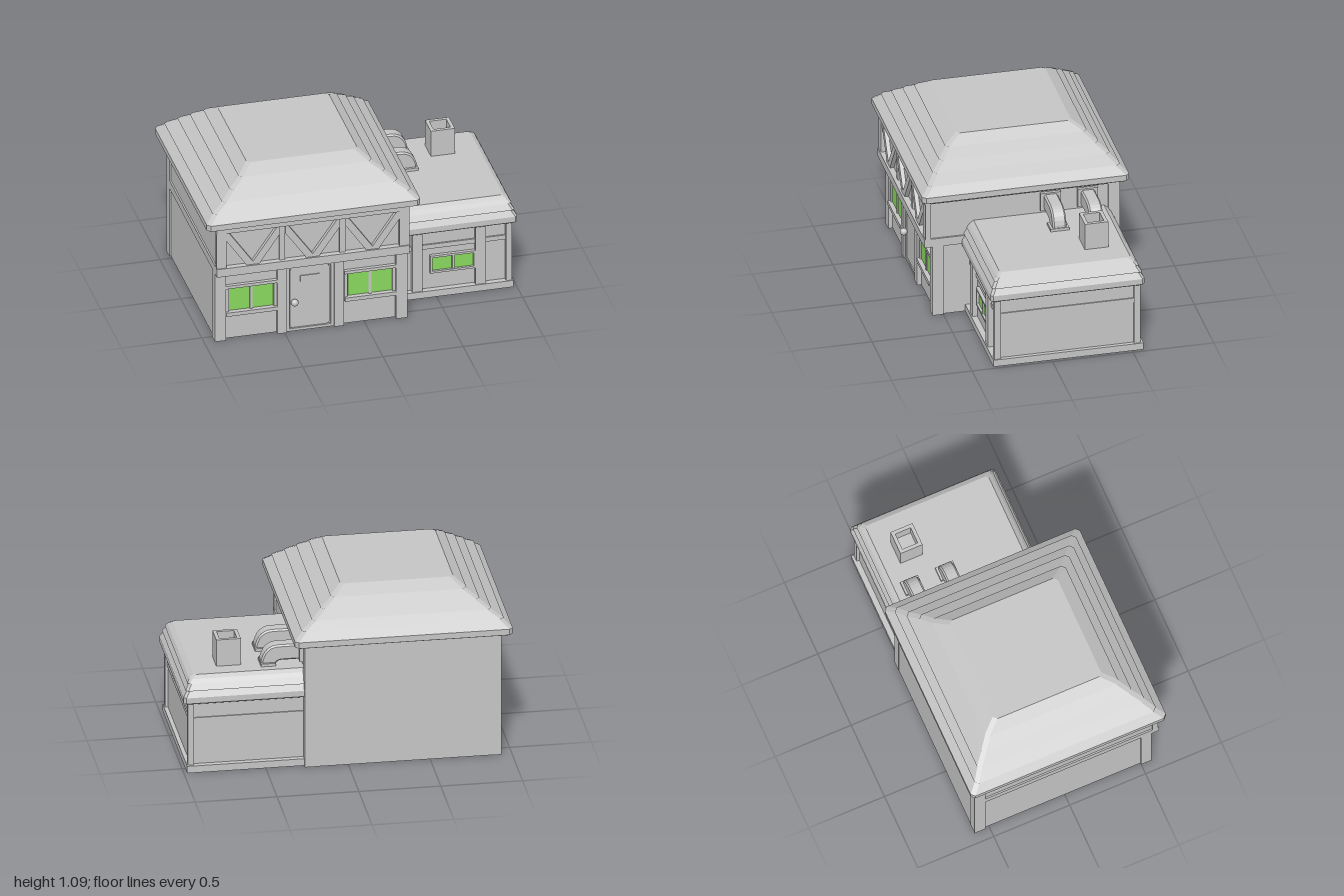
import * as THREE from 'three';

export function createModel() {
  const model = new THREE.Group();
  const grey = new THREE.MeshStandardMaterial({ color: 0xc4c4c4 });
  grey.name = 'stoneGrey';
  const green = new THREE.MeshStandardMaterial({ color: 0x88d65e });
  green.name = 'glassGreen';

  const add = (name, geometry, material = grey, parent = model) => {
    const mesh = new THREE.Mesh(geometry, material);
    mesh.name = name;
    parent.add(mesh);
    return mesh;
  };
  // Box given by its minimum and maximum on each axis
  const box = (name, x0, x1, y0, y1, z0, z1, material = grey) => {
    const g = new THREE.BoxGeometry(x1 - x0, y1 - y0, z1 - z0);
    g.translate((x0 + x1) / 2, (y0 + y1) / 2, (z0 + z1) / 2);
    return add(name, g, material);
  };
  // Stack of chamfered rectangles [halfX, y, halfZ], closed at both ends
  const loft = (rings, c) => {
    const loops = rings.map(([hx, y, hz]) => [
      [hx - c, y, hz], [hx, y, hz - c], [hx, y, -hz + c], [hx - c, y, -hz],
      [-hx + c, y, -hz], [-hx, y, -hz + c], [-hx, y, hz - c], [-hx + c, y, hz]]);
    const pos = [];
    const tri = (a, b, d) => pos.push(...a, ...b, ...d);
    for (let i = 0; i < loops.length - 1; i++) {
      const lo = loops[i], hi = loops[i + 1];
      for (let j = 0; j < 8; j++) {
        const k = (j + 1) % 8;
        tri(lo[j], lo[k], hi[k]);
        tri(lo[j], hi[k], hi[j]);
      }
    }
    const first = loops[0], last = loops[loops.length - 1];
    for (let j = 1; j < 7; j++) {
      tri(first[0], first[j + 1], first[j]);
      tri(last[0], last[j], last[j + 1]);
    }
    const g = new THREE.BufferGeometry();
    g.setAttribute('position', new THREE.Float32BufferAttribute(pos, 3));
    g.computeVertexNormals();
    return g;
  };
  const rectPath = (target, x0, x1, y0, y1) => {
    target.moveTo(x0, y0);
    target.lineTo(x1, y0);
    target.lineTo(x1, y1);
    target.lineTo(x0, y1);
    target.closePath();
    return target;
  };
  // Rectangular frame with an opening, lying in the xy plane
  const frame = (x0, x1, y0, y1, border, depth) => {
    const s = rectPath(new THREE.Shape(), x0, x1, y0, y1);
    s.holes.push(rectPath(new THREE.Path(), x0 + border, x1 - border, y0 + border, y1 - border));
    return new THREE.ExtrudeGeometry(s, { depth, bevelEnabled: false });
  };

  // Main house walls: lower storey and overhanging upper storey
  box('lowerWall', -0.925, 0.255, 0, 0.48, -0.595, 0.54);
  box('upperWall', -0.925, 0.255, 0.47, 0.81, -0.595, 0.58);
  box('floorBeam', -0.935, 0.265, 0.47, 0.525, -0.59, 0.617);
  box('topBeam', -0.935, 0.265, 0.765, 0.81, -0.59, 0.617);
  for (const [x0, x1] of [[-0.935, -0.865], [-0.545, -0.485], [-0.19, -0.13], [0.195, 0.265]])
    box('lowerPost', x0, x1, 0, 0.47, 0.5, 0.567);
  for (const [x0, x1] of [[-0.935, -0.875], [0.205, 0.265]]) {
    box('upperCornerPost', x0, x1, 0.525, 0.765, 0.575, 0.61);
    box('rearPost', x0, x1, 0, 0.8, -0.597, -0.525);
  }
  for (const x of [-0.54, -0.165]) box('upperPost', x, x + 0.035, 0.525, 0.765, 0.57, 0.595);

  // Paired slanting braces in each upper panel
  for (const [x0, x1] of [[-0.875, -0.54], [-0.505, -0.165], [-0.13, 0.205]]) {
    const mid = (x0 + x1) / 2;
    for (const [edge, s] of [[x0, 1], [x1, -1]]) {
      const shape = new THREE.Shape([
        new THREE.Vector2(edge, 0.765), new THREE.Vector2(edge, 0.71),
        new THREE.Vector2(mid - s * 0.04, 0.525), new THREE.Vector2(mid, 0.525),
        new THREE.Vector2(mid, 0.545), new THREE.Vector2(edge + s * 0.015, 0.765)]);
      const g = new THREE.ExtrudeGeometry(shape, { depth: 0.025, bevelEnabled: false });
      add('brace', g).position.z = 0.58;
    }
  }

  // Main windows
  for (const cx of [-0.705, 0.035]) {
    add('windowFrame', frame(cx - 0.16, cx + 0.16, 0.17, 0.37, 0.02, 0.015)).position.z = 0.54;
    box('windowLintel', cx - 0.16, cx + 0.16, 0.35, 0.37, 0.53, 0.563);
    box('windowSill', cx - 0.16, cx + 0.16, 0.165, 0.19, 0.53, 0.572);
    box('mullion', cx - 0.008, cx + 0.008, 0.19, 0.35, 0.54, 0.553);
    for (const s of [-1, 1])
      box('windowPane', cx + s * 0.072 - 0.064, cx + s * 0.072 + 0.064, 0.193, 0.347, 0.54, 0.546, green);
  }

  // Door with frame, rounded panel, plate and knob
  add('doorFrame', frame(-0.485, -0.19, 0, 0.445, 0.018, 0.015)).position.z = 0.54;
  const door = new THREE.Shape();
  const [dl, dr, db, dt, r] = [-0.463, -0.217, 0.022, 0.425, 0.02];
  door.moveTo(dl + r, db);
  door.lineTo(dr - r, db);
  door.quadraticCurveTo(dr, db, dr, db + r);
  door.lineTo(dr, dt - r);
  door.quadraticCurveTo(dr, dt, dr - r, dt);
  door.lineTo(dl + r, dt);
  door.quadraticCurveTo(dl, dt, dl, dt - r);
  door.lineTo(dl, db + r);
  door.quadraticCurveTo(dl, db, dl + r, db);
  add('door', new THREE.ExtrudeGeometry(door, { depth: 0.01, bevelEnabled: false })).position.z = 0.54;
  box('doorPlate', -0.4, -0.28, 0.335, 0.375, 0.55, 0.556);
  add('doorKnob', new THREE.SphereGeometry(0.023, 16, 12)).position.set(-0.44, 0.205, 0.575);

  // Main roof: stepped courses rising to a flat top
  const hx = [0.665, 0.618, 0.548, 0.485, 0.415, 0.345];
  const hz = [0.643, 0.597, 0.55, 0.495, 0.44, 0.357];
  const rings = [[0.655, 0.8, 0.63], [0.665, 0.807, 0.643]];
  for (let i = 0; i < 5; i++) {
    const y = 0.845 + i * 0.049;
    const lip = i < 4 ? 0.012 : 0;
    rings.push([hx[i], y, hz[i]], [hx[i + 1] - lip, y + 0.049, hz[i + 1] - lip]);
  }
  add('mainRoof', loft(rings, 0.022)).position.x = -0.335;

  // Annex walls, base, rails and columns
  box('annexWall', 0.25, 0.955, 0.01, 0.47, -0.535, 0.325);
  box('annexBase', 0.25, 0.98, 0, 0.045, -0.57, 0.362);
  box('annexRail', 0.25, 0.962, 0.32, 0.35, -0.542, 0.335);
  for (const z of [0.335, -0.533]) {
    box('annexCornerColumn', 0.935, 0.973, 0.03, 0.47, z - 0.02, z + 0.02);
    for (const x of [0.35, 0.745])
      if (z > 0) box('annexColumn', x, x + 0.065, 0.03, 0.47, z - 0.02, z + 0.02);
  }
  add('annexWindowFrame', frame(0.465, 0.75, 0.155, 0.275, 0.014, 0.022)).position.z = 0.325;
  box('annexMullion', 0.603, 0.617, 0.16, 0.27, 0.32, 0.342);
  for (const x of [0.48, 0.617])
    box('annexWindowPane', x, x + 0.122, 0.168, 0.263, 0.325, 0.332, green);

  // Annex roof: three overlapping courses
  const annexRoof = loft([
    [0.44, 0.45, 0.468], [0.45, 0.458, 0.478], [0.45, 0.495, 0.478], [0.425, 0.535, 0.455],
    [0.436, 0.535, 0.466], [0.412, 0.575, 0.44],
    [0.422, 0.575, 0.448], [0.408, 0.598, 0.43], [0.38, 0.617, 0.405]], 0.015);
  add('annexRoof', annexRoof).position.set(0.55, 0, -0.095);

  // Hollow chimney
  const chimney = frame(0.625, 0.775, 0.255, 0.4, 0.022, 0.19);
  chimney.rotateX(-Math.PI / 2);
  add('chimney', chimney).position.y = 0.6;
  box('chimneyFloor', 0.64, 0.76, 0.6, 0.7, -0.385, -0.27);

  // Two elbow ducts with collars
  for (const z of [-0.165, -0.395]) {
    const s = new THREE.Shape();
    s.moveTo(0.25, 0.655);
    s.lineTo(0.385, 0.655);
    s.quadraticCurveTo(0.43, 0.65, 0.435, 0.6);
    s.lineTo(0.495, 0.6);
    s.lineTo(0.495, 0.65);
    s.quadraticCurveTo(0.475, 0.735, 0.4, 0.735);
    s.lineTo(0.25, 0.735);
    const duct = new THREE.ExtrudeGeometry(s, {
      depth: 0.066, bevelThickness: 0.01, bevelSize: 0.01, bevelSegments: 1, curveSegments: 6 });
    add('duct', duct).position.z = z - 0.033;
    box('ductCollar', 0.42, 0.51, 0.6, 0.635, z - 0.058, z + 0.058);
    box('ductWallPlate', 0.25, 0.275, 0.635, 0.755, z - 0.063, z + 0.063);
  }
  return model;
}
